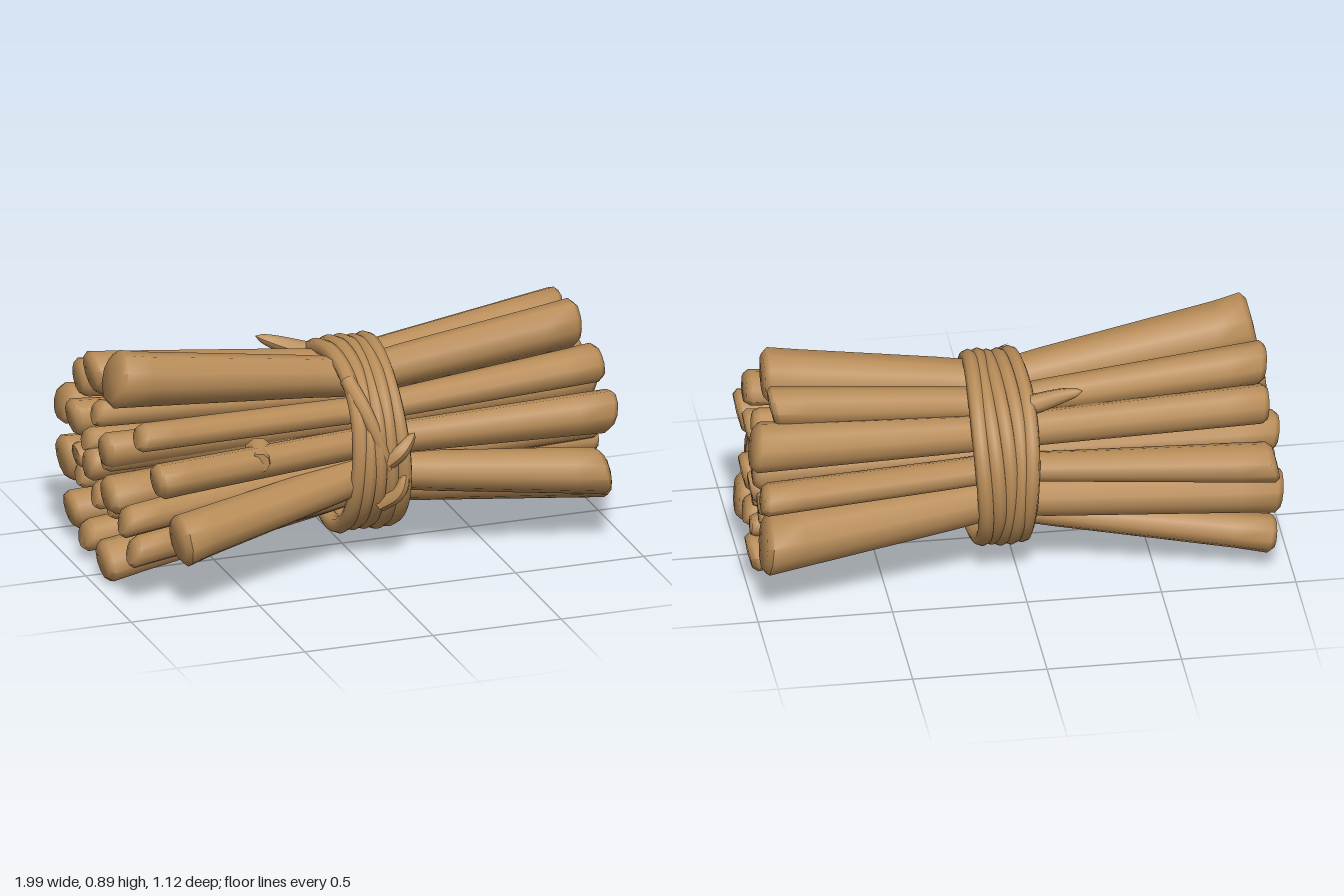
import * as THREE from 'three';
import { toCreasedNormals } from 'three/addons/utils/BufferGeometryUtils.js';

const V = (x, y, z) => new THREE.Vector3(x, y, z);

// Main sticks: right end x, z, y, radius, then left end x, z, y, radius
const MAIN_STICKS = [
  [0.90, 0.00, 0.76, 0.095, -0.91, 0.06, 0.79, 0.11],
  [0.90, -0.21, 0.74, 0.08, -0.92, -0.15, 0.74, 0.085],
  [0.98, -0.29, 0.62, 0.095, -0.91, -0.31, 0.66, 0.075],
  [0.95, 0.12, 0.64, 0.075, -0.89, 0.29, 0.64, 0.055],
  [0.96, 0.22, 0.48, 0.085, -0.86, 0.40, 0.50, 0.07],
  [0.91, 0.29, 0.28, 0.095, -0.79, 0.45, 0.28, 0.105],
  [0.98, 0.11, 0.19, 0.085, -0.93, 0.33, 0.21, 0.06],
  [0.98, -0.19, 0.12, 0.08, -0.95, 0.07, 0.08, 0.08],
  [0.96, -0.43, 0.29, 0.12, -0.95, -0.37, 0.33, 0.09],
  [0.97, -0.47, 0.50, 0.065, -0.92, -0.47, 0.50, 0.08],
  [0.96, 0.01, 0.53, 0.075, -0.95, 0.08, 0.52, 0.07],
  [0.97, -0.18, 0.23, 0.045, -0.93, -0.35, 0.13, 0.075],
  [0.94, 0.10, 0.39, 0.055, -0.97, 0.35, 0.34, 0.06],
  [0.98, -0.03, 0.37, 0.08, -0.96, 0.14, 0.37, 0.075],
  [0.97, -0.24, 0.50, 0.075, -0.95, -0.27, 0.52, 0.075],
  [0.97, -0.03, 0.21, 0.06, -0.94, -0.16, 0.10, 0.065],
  [0.97, -0.16, 0.38, 0.06, -0.95, -0.10, 0.40, 0.065],
  [0.96, -0.30, 0.39, 0.05, -0.94, -0.24, 0.38, 0.055],
];

// Thin sticks fill the core in two alternating rings
function coreStick(i) {
  const a = Math.PI / 2 + i * Math.PI / 3, r = i % 2 ? 0.12 : 0.2;
  const z = r * Math.cos(a) - 0.09, y = r * Math.sin(a) + 0.42;
  return [0.95, z, y, 0.045, -0.94, z + 0.05, y, 0.052];
}

const BAND_X = 0.06, CENTRE_Y = 0.42, CENTRE_Z = -0.065;

// The stick is drawn in towards the bundle centre where the cord squeezes it
function waist(z, y) {
  const dz = (z - CENTRE_Z) * 0.73, dy = (y - CENTRE_Y) * 0.73;
  const k = Math.min(1, 0.245 / Math.hypot(dz, dy));
  return V(BAND_X, CENTRE_Y + dy * k, CENTRE_Z + dz * k);
}

function stickGeometry([rx, rz, ry, rr, lx, lz, ly, lr], seed) {
  const sides = 10, mid = waist((rz + lz) / 2, (ry + ly) / 2);
  const left = V(lx, ly, lz), right = V(rx, ry, rz);
  const curve = new THREE.CatmullRomCurve3([left, mid.clone().lerp(left, 0.2), mid, mid.clone().lerp(right, 0.2), right]);
  const midR = Math.max(0.05, (rr + lr) * 0.38);
  // Rings: [t along stick, radius factor, push outwards along x]
  const rings = [[0, 0, -0.014], [0, 0.8, -0.01], [0, 1, 0.01]];
  for (let i = 1; i < 14; i++) rings.push([i / 14, 1, 0]);
  rings.push([1, 1, -0.01], [1, 0.8, 0.01], [1, 0, 0.014]);

  const pos = [], idx = [];
  rings.forEach(([t, f, push]) => {
    const c = curve.getPointAt(t);
    const r = t < 0.5 ? THREE.MathUtils.lerp(lr, midR, t * 2) : THREE.MathUtils.lerp(midR, rr, t * 2 - 1);
    const slant = t === 0 || t === 1 ? 0.2 * Math.sin(seed * 3.1 + t * 2) : 0;
    for (let j = 0; j < sides; j++) {
      const a = (j / sides) * Math.PI * 2 + seed;
      const q = r * f * (1 + 0.05 * Math.sin(2 * a + seed * 2.3) + 0.05 * Math.sin(j * 5.3 + seed * 1.7));
      pos.push(c.x + push + slant * q * Math.cos(a), c.y + 0.96 * q * Math.cos(a), c.z + 1.07 * q * Math.sin(a));
    }
  });
  for (let i = 0; i < rings.length - 1; i++) {
    for (let j = 0; j < sides; j++) {
      const a = i * sides + j, b = i * sides + (j + 1) % sides, c = a + sides, d = b + sides;
      if (rings[i][1] > 0) idx.push(a, b, c);
      if (rings[i + 1][1] > 0) idx.push(b, d, c);
    }
  }
  const g = new THREE.BufferGeometry();
  g.setAttribute('position', new THREE.Float32BufferAttribute(pos, 3));
  g.setIndex(idx);
  return toCreasedNormals(g, 1.05);
}

// Tube narrowing to a point at its far end
function taperedTube(points, radius) {
  const curve = new THREE.CatmullRomCurve3(points), n = 12, sides = 8;
  const g = new THREE.TubeGeometry(curve, n, radius, sides);
  const p = g.attributes.position;
  for (let i = 0; i <= n; i++) {
    const c = curve.getPointAt(i / n), k = Math.sqrt(1 - (i / n) ** 2 * 0.999);
    for (let j = 0; j <= sides; j++) {
      const v = i * (sides + 1) + j, w = V().fromBufferAttribute(p, v).sub(c).multiplyScalar(k).add(c);
      p.setXYZ(v, w.x, w.y, w.z);
    }
  }
  g.computeVertexNormals();
  return g;
}

export function createModel() {
  const model = new THREE.Group();
  model.name = 'stickBundle';
  const wood = new THREE.MeshStandardMaterial({ color: 0xb88c58 });
  wood.name = 'wood';
  const add = (name, geometry, parent = model) => {
    const mesh = new THREE.Mesh(geometry, wood);
    mesh.name = name;
    parent.add(mesh);
    return mesh;
  };

  // Sticks
  const sticks = new THREE.Group();
  sticks.name = 'sticks';
  model.add(sticks);
  MAIN_STICKS.forEach((s, i) => add('mainStick', stickGeometry(s, i * 1.37 + 0.4), sticks));
  for (let i = 0; i < 6; i++) add('coreStick', stickGeometry(coreStick(i), i * 1.91 + 0.7), sticks);

  // Cut twig stub on a front stick
  const stub = add('twigStub', toCreasedNormals(new THREE.CylinderGeometry(0.038, 0.055, 0.12, 9), 0.7));
  stub.position.set(-0.43, 0.505, 0.3);
  stub.rotation.set(Math.PI / 2, 0, 0.3);

  // Cord wound around the waist
  const cord = new THREE.Group();
  cord.name = 'cord';
  model.add(cord);
  for (let k = 0; k < 5; k++) {
    const pts = [];
    for (let i = 0; i < 28; i++) {
      const a = (i / 28) * Math.PI * 2;
      const w = 1 + 0.012 * Math.sin(3 * a + k * 1.9);
      const x = -0.03 + k * 0.042 + 0.01 * Math.sin(2 * a + k * 0.8);
      pts.push(V(x, 0.415 + 0.33 * w * Math.cos(a), -0.055 + 0.342 * w * Math.sin(a)));
    }
    add('cordLoop', new THREE.TubeGeometry(new THREE.CatmullRomCurve3(pts, true), 72, 0.031, 8, true), cord);
  }

  // Crossing strand and loose ends
  add('crossingStrand', taperedTube([V(-0.03, 0.70, 0.14), V(0.0, 0.62, 0.24), V(0.05, 0.48, 0.295), V(0.09, 0.36, 0.30)], 0.03), cord);
  add('frontCordEnd', taperedTube([V(0.08, 0.42, 0.29), V(0.12, 0.46, 0.31), V(0.18, 0.52, 0.29)], 0.032), cord);
  add('topCordEnd', taperedTube([V(0.02, 0.66, -0.22), V(-0.08, 0.69, -0.235), V(-0.16, 0.72, -0.25), V(-0.24, 0.75, -0.275)], 0.04), cord);
  add('lowerCordEnd', taperedTube([V(0.06, 0.24, 0.25), V(0.12, 0.30, 0.30), V(0.15, 0.40, 0.29)], 0.03), cord);

  return model;
}
